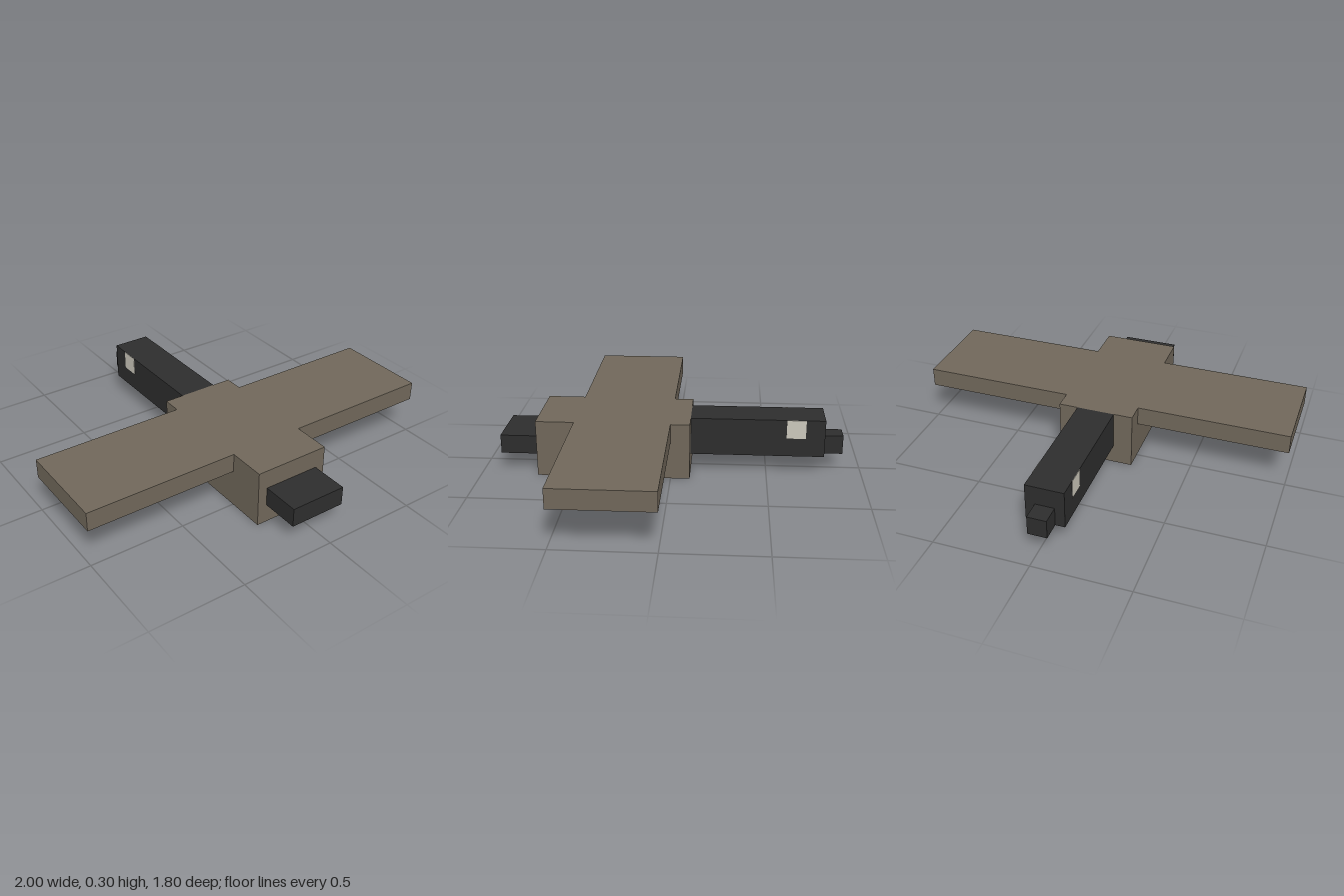
import * as THREE from 'three';

const material = (name, color) => {
  const m = new THREE.MeshStandardMaterial({ color });
  m.name = name;
  return m;
};

export function createModel() {
  const model = new THREE.Group();
  model.name = 'bird';
  const plumage = material('brown plumage', 0x70675a);
  const dark = material('dark feathers', 0x2d2d2d);
  const pale = material('pale eye', 0xcbc7bb);

  // Box given by its minimum and maximum corners
  const box = (name, mat, min, max) => {
    const size = max.map((v, i) => v - min[i]);
    const mesh = new THREE.Mesh(new THREE.BoxGeometry(...size), mat);
    mesh.position.set(...max.map((v, i) => (v + min[i]) / 2));
    mesh.name = name;
    model.add(mesh);
  };

  // Body, with the tail at the front and the neck and beak at the back
  box('body', plumage, [-0.2, 0, -0.1], [0.2, 0.3, 0.7]);
  box('tail', dark, [-0.15, 0.1, 0.7], [0.15, 0.2, 0.9]);
  box('neckAndHead', dark, [-0.1, 0.1, -0.8], [0.1, 0.3, -0.1]);
  box('beak', dark, [-0.05, 0.1, -0.9], [0.05, 0.2, -0.8]);

  // Mirrored wings and thin eye plates
  for (const [side, s] of [['left', 1], ['right', -1]]) {
    const span = (a, b) => (s > 0 ? [a, b] : [-b, -a]);
    const [w0, w1] = span(0.2, 1);
    box(`${side}Wing`, plumage, [w0, 0.2, 0], [w1, 0.3, 0.5]);
    const [e0, e1] = span(0.1, 0.102);
    box(`${side}Eye`, pale, [e0, 0.2, -0.7], [e1, 0.3, -0.6]);
  }
  return model;
}
